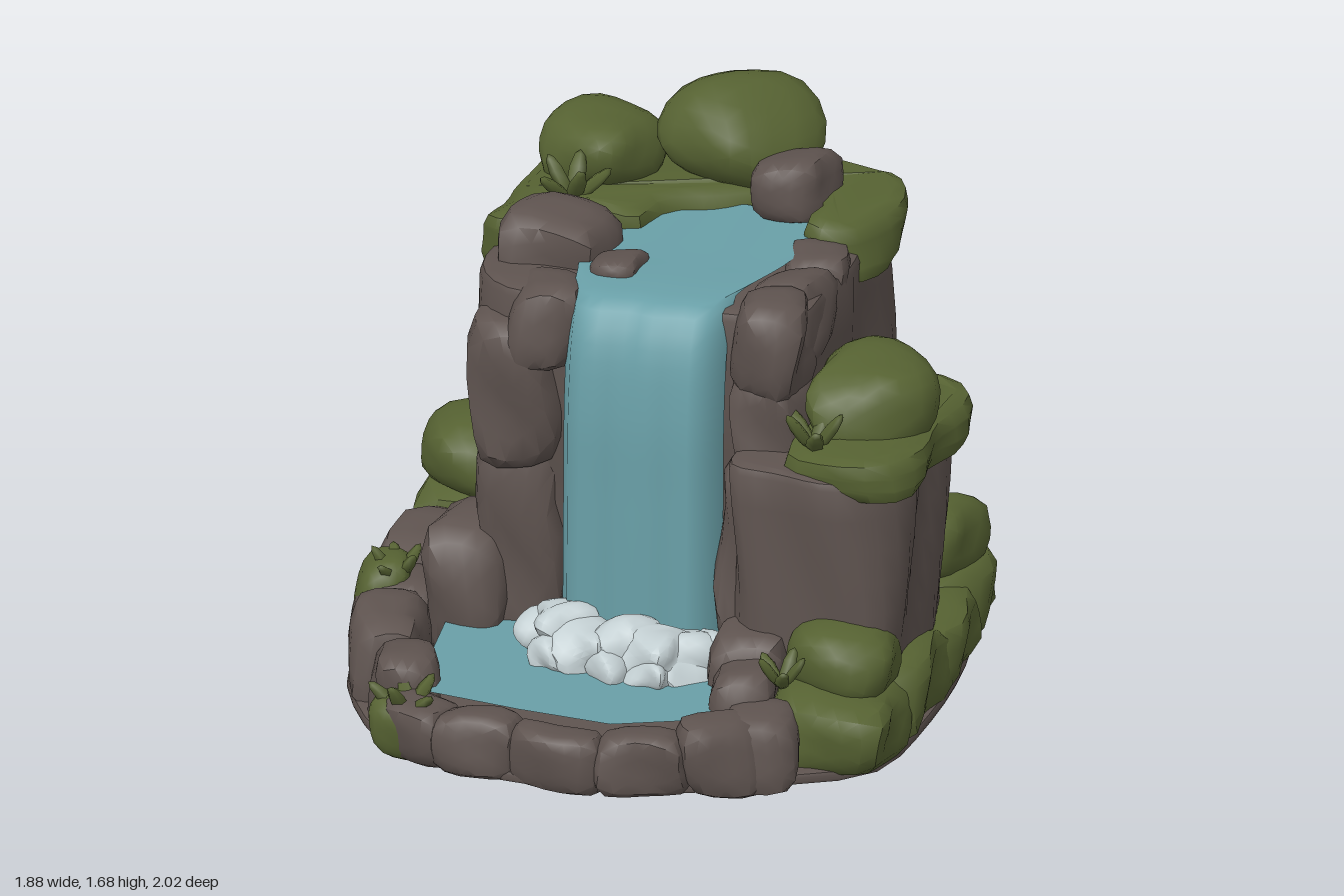
import * as THREE from 'three';
import { toCreasedNormals } from 'three/addons/utils/BufferGeometryUtils.js';

const mat = (name, color, side = THREE.FrontSide) => {
  const m = new THREE.MeshStandardMaterial({ color, side });
  m.name = name;
  return m;
};

export function createModel() {
  const model = new THREE.Group();
  model.name = 'waterfall';
  const rock = mat('rock brown', 0x5e534f);
  const moss = mat('moss green', 0x566232);
  const water = mat('water blue', 0x699fa7, THREE.DoubleSide);
  const foam = mat('foam white', 0xc2ced1);

  const add = (name, geo, material) => {
    const mesh = new THREE.Mesh(geo, material);
    mesh.name = name;
    model.add(mesh);
    return mesh;
  };

  // Moves every vertex by a rule, keeps it above ground and rebuilds the normals
  const warp = (geo, rule, crease = 0.7) => {
    const p = geo.attributes.position;
    const v = new THREE.Vector3();
    for (let i = 0; i < p.count; i++) {
      rule(v.fromBufferAttribute(p, i));
      p.setXYZ(i, v.x, Math.max(0, v.y), v.z);
    }
    geo.computeVertexNormals();
    return toCreasedNormals(geo, crease);
  };

  // Smooth lumps that depend only on position
  const lump = (v, a, f = 9) => {
    const { x, y, z } = v;
    v.x += a * Math.sin(f * y + 1.3 * f * z + 1);
    v.y += a * 0.6 * Math.sin(f * x + 0.8 * f * z + 2);
    v.z += a * Math.sin(f * y + 1.2 * f * x);
  };

  // Chunky block given by its centre and half sizes; k sets how square it is
  const block = (name, material, [x, y, z], [rx, ry, rz], k = 4.5, a = 0.018, turn = 0, f = 12) => {
    const geo = new THREE.IcosahedronGeometry(1, 3);
    const c = Math.cos(turn), s = Math.sin(turn);
    return add(name, warp(geo, v => {
      const r = (Math.abs(v.x) ** k + Math.abs(v.y) ** k + Math.abs(v.z) ** k) ** (-1 / k);
      v.multiplyScalar(r).multiply(new THREE.Vector3(rx, ry, rz));
      v.set(x + v.x * c + v.z * s, y + v.y, z - v.x * s + v.z * c);
      lump(v, a, f);
    }), material);
  };

  // Upright slab from a ground outline of [x, z] points
  const slab = (name, material, outline, y0, y1, bevel, rule, count = 44) => {
    const curve = new THREE.CatmullRomCurve3(
      outline.map(([x, z]) => new THREE.Vector3(x, -z, 0)), true);
    const shape = new THREE.Shape(curve.getSpacedPoints(count).slice(0, -1)
      .map(p => new THREE.Vector2(p.x, p.y)));
    const geo = new THREE.ExtrudeGeometry(shape, {
      depth: y1 - y0 - 2 * bevel, steps: 8, bevelThickness: bevel,
      bevelSize: bevel, bevelOffset: -bevel, bevelSegments: 2 });
    geo.rotateX(-Math.PI / 2).translate(0, y0 + bevel, 0);
    return add(name, warp(geo, rule), material);
  };

  // Thin ground plate
  slab('base', rock, [[-0.9, 0.3], [-0.82, 0.55], [-0.58, 0.87], [-0.2, 0.97], [0.22, 0.95],
    [0.6, 0.77], [0.85, 0.6], [0.91, 0.2], [0.88, -0.35], [0.78, -0.66], [0.5, -0.81],
    [0.2, -0.87], [-0.2, -0.87], [-0.5, -0.81], [-0.78, -0.68], [-0.89, -0.3]],
  0.01, 0.05, 0.015, v => v);

  // Main cliff: undercut in front, flaring to the ground behind, with upright folds
  slab('cliff', rock, [[-0.54, 0.1], [-0.44, 0.2], [-0.22, 0.2], [0.28, 0.2], [0.44, 0.18],
    [0.51, 0.08], [0.52, -0.35], [0.53, -0.58], [0.48, -0.73], [0.25, -0.77], [0, -0.79],
    [-0.25, -0.77], [-0.48, -0.73], [-0.54, -0.58], [-0.55, -0.3]], 0.02, 1.31, 0.03, v => {
    const low = 1 - v.y / 1.31;
    const back = THREE.MathUtils.smoothstep(-v.z, 0.2, 0.7);
    const under = 1 - THREE.MathUtils.smoothstep(v.y, 0.5, 0.95);
    v.z -= 0.08 * low * back + 0.05 * under * THREE.MathUtils.smoothstep(v.z, 0, 0.2);
    v.x *= 1 + 0.12 * low * back;
    v.z += back * 0.025 * Math.sin(v.x * 13 + v.y * 2) * (1 - low);
    v.x += 0.015 * Math.sin(v.z * 13 + v.y * 4);
  }, 56);

  // Right ledge
  slab('ledge', rock, [[0.34, 0.36], [0.56, 0.42], [0.78, 0.4], [0.85, 0.3], [0.84, 0],
    [0.83, -0.26], [0.76, -0.35], [0.36, -0.34]], 0.02, 0.89, 0.03, v => {
    v.z += 0.015 * Math.sin(v.x * 16 + v.y * 4);
    v.x += 0.02 * Math.sin(v.z * 14 + v.y * 6);
  });

  // Cliff shoulders and rim stones: centre, half sizes
  [
    [[-0.41, 0.97, 0.13], [0.14, 0.25, 0.14]],
    [[-0.31, 1.19, 0.14], [0.11, 0.14, 0.14]],
    [[-0.4, 0.48, 0.11], [0.13, 0.4, 0.1]],
    [[-0.35, 1.31, -0.11], [0.165, 0.14, 0.14]],
    [[-0.12, 1.32, 0], [0.075, 0.05, 0.09]],
    [[0.27, 1.42, -0.55], [0.11, 0.1, 0.12]],
    [[0.4, 1.19, 0.14], [0.11, 0.16, 0.13]],
    [[0.41, 1.22, -0.04], [0.1, 0.13, 0.13]],
    [[0.42, 1.24, -0.25], [0.1, 0.12, 0.12]],
    [[0.4, 0.93, 0.15], [0.11, 0.18, 0.12]],
    [[0.33, 0.5, 0.23], [0.06, 0.36, 0.1]],
  ].forEach(([c, r]) => block('cliffStone', rock, c, r));

  // Rocks round the pool and along the back foot: centre, half sizes, turn
  [
    [[-0.57, 0.28, 0.1], [0.13, 0.22, 0.18], 0],
    [[-0.75, 0.17, -0.14], [0.17, 0.17, 0.18], 0.15],
    [[-0.79, 0.14, 0.13], [0.13, 0.14, 0.15], 0],
    [[-0.74, 0.15, 0.41], [0.11, 0.15, 0.17], 0.3],
    [[-0.62, 0.14, 0.66], [0.1, 0.14, 0.14], 0.3],
    [[-0.5, 0.11, 0.85], [0.11, 0.1, 0.09], -0.3],
    [[-0.3, 0.1, 0.9], [0.14, 0.1, 0.08], -0.15],
    [[-0.04, 0.1, 0.93], [0.15, 0.1, 0.07], 0],
    [[0.22, 0.1, 0.91], [0.14, 0.1, 0.08], 0.2],
    [[0.43, 0.12, 0.82], [0.12, 0.12, 0.09], 0.5],
    [[0.52, 0.12, 0.73], [0.11, 0.12, 0.12], 0.3],
    [[0.43, 0.16, 0.56], [0.1, 0.15, 0.14], 0],
    [[0.42, 0.2, 0.38], [0.12, 0.17, 0.14], 0],
    [[-0.38, 0.1, -0.8], [0.17, 0.11, 0.07], 0.15],
    [[0.03, 0.12, -0.84], [0.24, 0.12, 0.06], 0],
    [[0.42, 0.1, -0.79], [0.18, 0.11, 0.07], -0.15],
  ].forEach(([c, r, t]) => block('footRock', rock, c, r, 4.5, 0.016, t));

  // Low moss round the foot: centre, half sizes, squareness
  [
    [[0.72, 0.14, 0.51], [0.19, 0.12, 0.21], 4],
    [[0.71, 0.31, 0.42], [0.17, 0.11, 0.15], 3],
    [[0.8, 0.14, 0.17], [0.12, 0.12, 0.24], 5],
    [[0.81, 0.14, -0.17], [0.11, 0.1, 0.24], 5],
    [[0.71, 0.14, -0.53], [0.18, 0.13, 0.22], 4],
    [[0.71, 0.33, -0.5], [0.15, 0.12, 0.18], 3],
    [[-0.7, 0.19, -0.52], [0.19, 0.18, 0.25], 5],
    [[-0.71, 0.45, -0.51], [0.18, 0.12, 0.22], 3],
    [[-0.84, 0.24, 0.12], [0.08, 0.1, 0.12], 3],
    [[-0.57, 0.1, 0.83], [0.1, 0.1, 0.1], 3],
  ].forEach(([c, r, k]) => block('footMoss', moss, c, r, k));

  // Moss caps on the ledge and on the cliff top
  slab('ledgeMoss', moss, [[0.5, 0.36], [0.68, 0.43], [0.86, 0.37], [0.9, 0.1], [0.89, -0.28],
    [0.74, -0.38], [0.52, -0.34]], 0.8, 0.95, 0.05, v => lump(v, 0.018, 11), 28);
  slab('topMoss', moss, [[-0.62, -0.14], [-0.52, -0.1], [-0.4, -0.22], [-0.14, -0.27],
    [-0.08, -0.43], [0.08, -0.5], [0.22, -0.58], [0.35, -0.52], [0.37, -0.36], [0.53, -0.35],
    [0.57, -0.72], [0.42, -0.85], [0.2, -0.9], [0, -0.92], [-0.28, -0.86], [-0.5, -0.78],
    [-0.58, -0.6], [-0.57, -0.3]], 1.21, 1.4, 0.045, v => lump(v, 0.018, 11), 60);

  // Bushes
  block('ledgeBush', moss, [0.68, 1, 0.02], [0.19, 0.15, 0.22], 2.6, 0.025);
  block('topBush', moss, [0.03, 1.5, -0.74], [0.25, 0.17, 0.25], 2.1, 0.025);
  block('topBush', moss, [-0.36, 1.46, -0.6], [0.17, 0.12, 0.19], 2.6, 0.025);

  // Pool surface
  const pool = new THREE.Shape([[-0.62, 0.12], [0.42, 0.12], [0.42, 0.68], [0.38, 0.76],
    [0.1, 0.88], [-0.2, 0.85], [-0.5, 0.8], [-0.58, 0.5]].map(([x, z]) => new THREE.Vector2(x, -z)));
  add('pool', new THREE.ShapeGeometry(pool).rotateX(-Math.PI / 2).translate(0, 0.205, 0), water);

  // Stream and falling sheet along one bent path
  const path = new THREE.CatmullRomCurve3([[1.345, -0.52], [1.34, -0.15], [1.335, 0.16],
    [1.315, 0.25], [1.22, 0.31], [1, 0.35], [0.7, 0.36], [0.2, 0.37]]
    .map(([y, z]) => new THREE.Vector3(0, y, z)));
  add('waterfall', warp(new THREE.PlaneGeometry(2, 1, 12, 36), v => {
    const u = v.x, t = 0.5 - v.y;
    const p = path.getPointAt(t);
    const flow = Math.max(0, 1 - t / 0.38);
    const half = 0.255 + 0.07 * Math.sin(Math.PI * flow);
    const ripple = 0.008 * Math.sin(u * 9);
    v.set(0.015 + u * half + 0.06 * flow, p.y + ripple * 0.4 * flow,
      p.z + (1 - flow) * (ripple - 0.12 * Math.abs(u) ** 12));
  }, 1.2), water);

  // Foam at the foot of the fall
  [[-0.27, 0.25, 0.35, 0.07], [-0.19, 0.29, 0.38, 0.1], [-0.2, 0.22, 0.45, 0.09],
    [-0.09, 0.25, 0.44, 0.11], [0.02, 0.27, 0.42, 0.11], [0, 0.22, 0.5, 0.08],
    [0.12, 0.26, 0.45, 0.11], [0.2, 0.25, 0.41, 0.1], [0.25, 0.26, 0.36, 0.08],
    [0.13, 0.22, 0.53, 0.07], [0.22, 0.21, 0.47, 0.07]].forEach(([x, y, z, r]) =>
    block('foam', foam, [x, y, z], [r, r * 0.8, r], 2.2, 0.018, 0, 31));

  // Leaf tufts: position and size
  [[-0.8, 0.25, 0.13, 0.14], [-0.56, 0.13, 0.84, 0.16], [0.57, 0.28, 0.63, 0.13],
    [0.57, 0.92, 0.28, 0.16], [-0.38, 1.38, -0.33, 0.16]].forEach(([x, y, z, size]) => {
    const tuft = new THREE.Group();
    tuft.name = 'leafTuft';
    for (let i = 0; i < 5; i++) {
      const leaf = new THREE.Mesh(new THREE.SphereGeometry(0.5, 5, 5), moss);
      leaf.name = 'leaf';
      leaf.geometry.translate(0, 0.5, 0).scale(size * 0.38, size, size * 0.26);
      leaf.rotation.set(0.6 + 0.25 * (i % 2), i * Math.PI * 0.4 + x * 5, 0, 'YXZ');
      tuft.add(leaf);
    }
    tuft.position.set(x, y, z);
    model.add(tuft);
  });

  return model;
}
